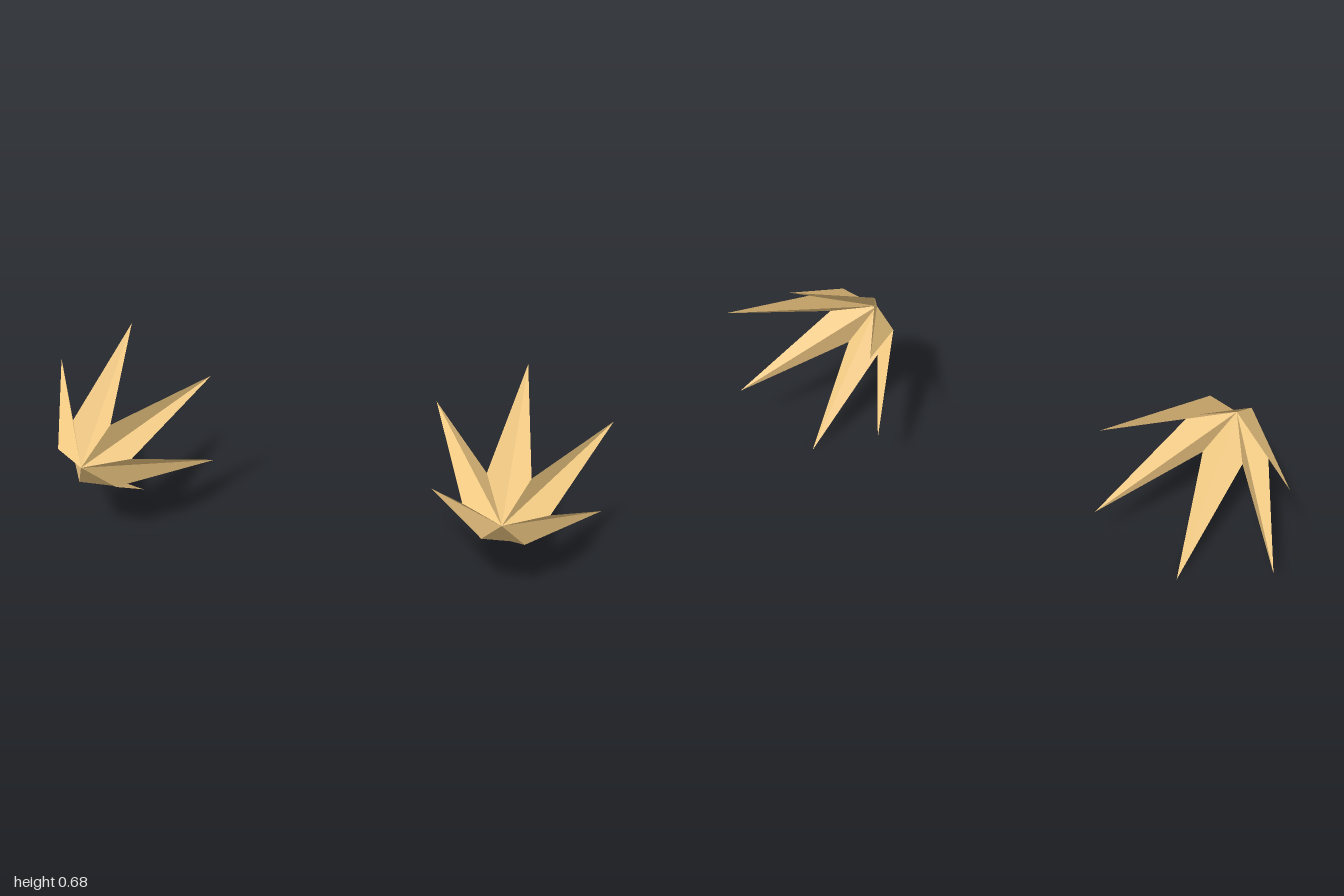
import * as THREE from 'three';

const POINTS = 6;
const APEX_Z = 0.244;
const VALLEY = { radius: 0.138, z: 0.137 };
const TIP = { radius: 0.341, z: -0.243 };

// Open six-pointed star: a fan from the front apex to alternating valleys and swept-back tips
function starGeometry() {
  const rim = (i) => {
    const { radius, z } = i % 2 ? TIP : VALLEY;
    const a = (i * Math.PI) / POINTS;
    return [radius * Math.cos(a), radius * Math.sin(a), z];
  };
  const positions = [];
  for (let i = 0; i < POINTS * 2; i++) {
    positions.push(0, 0, APEX_Z, ...rim(i), ...rim(i + 1));
  }
  const geometry = new THREE.BufferGeometry();
  geometry.setAttribute('position', new THREE.Float32BufferAttribute(positions, 3));
  geometry.computeVertexNormals();
  return geometry;
}

export function createModel() {
  const group = new THREE.Group();
  group.name = 'starPair';
  const material = new THREE.MeshStandardMaterial({
    color: 0xf0c882,
    flatShading: true,
    side: THREE.DoubleSide,
  });
  const geometry = starGeometry();

  // Matching stars on either side
  for (const side of [-1, 1]) {
    const star = new THREE.Mesh(geometry, material);
    star.name = side > 0 ? 'leftStar' : 'rightStar';
    star.position.set(side * 0.705, TIP.radius, 0);
    group.add(star);
  }
  return group;
}
